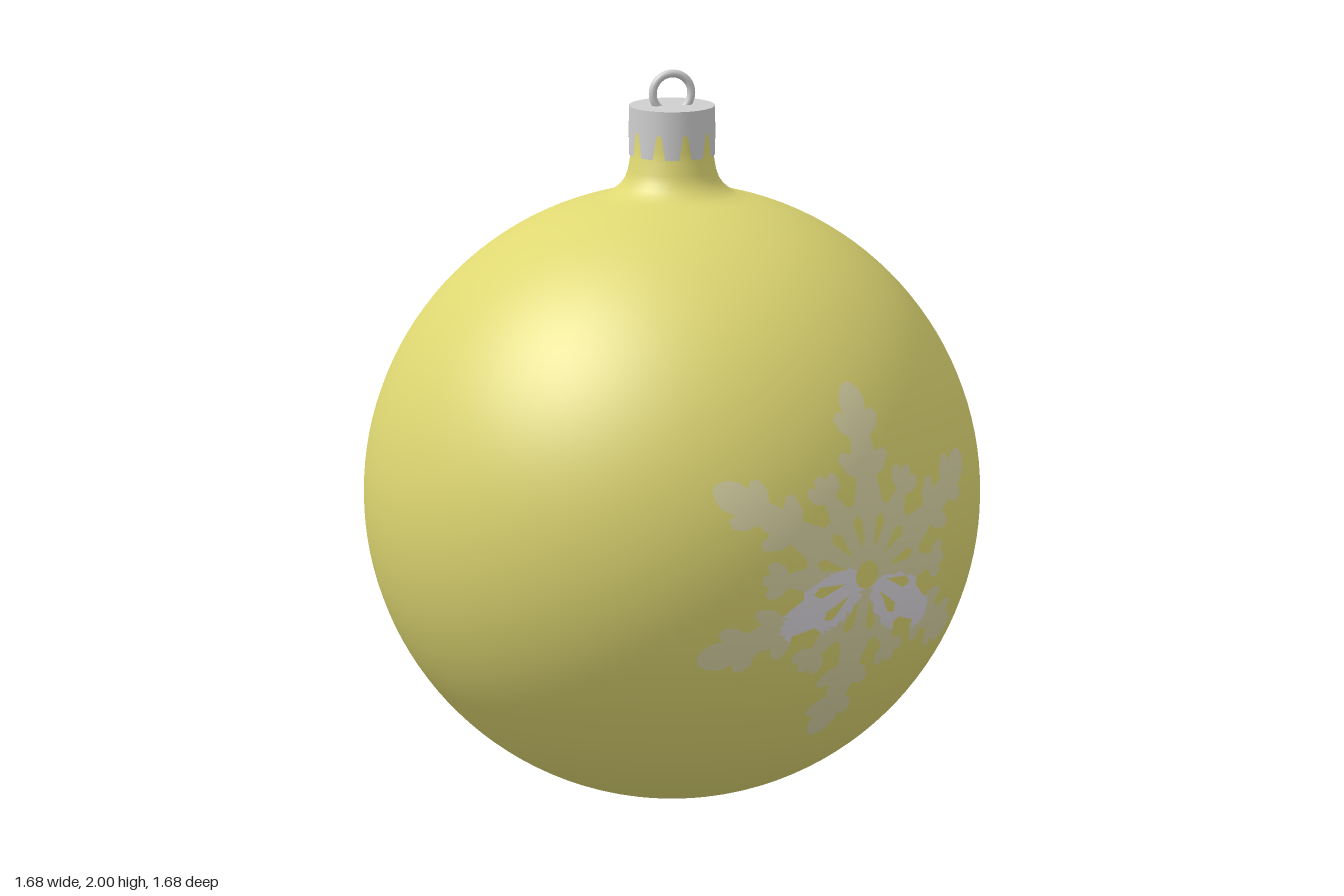
import * as THREE from 'three';

const R = 0.838; // ball radius, also the height of its centre
const mat = (name, color, side = THREE.FrontSide) => {
  const m = new THREE.MeshStandardMaterial({ color, side });
  m.name = name;
  return m;
};
const polar = (r, a) => new THREE.Vector2(r * Math.cos(a), r * Math.sin(a));

// Cuts a flat shape into small triangles and wraps it onto a curved surface.
// place(u, v) gives { p, n }; pick(u, v) gives the material index.
function wrapShape(shape, maxEdge, place, pick = () => 0) {
  const flat = new THREE.ShapeGeometry(shape, 6);
  const pos = flat.attributes.position, index = flat.index.array;
  const pt = (i) => new THREE.Vector2(pos.getX(i), pos.getY(i));
  const stack = [], groups = [[], []];
  for (let i = 0; i < index.length; i += 3) stack.push([pt(index[i]), pt(index[i + 1]), pt(index[i + 2])]);
  while (stack.length) {
    const t = stack.pop();
    const len = [0, 1, 2].map((k) => t[k].distanceTo(t[(k + 1) % 3]));
    const k = len.indexOf(Math.max(...len));
    const a = t[k], b = t[(k + 1) % 3], c = t[(k + 2) % 3];
    if (len[k] > maxEdge) {
      const m = a.clone().add(b).multiplyScalar(0.5);
      stack.push([a, m, c], [m, b, c]);
    } else {
      groups[pick((a.x + b.x + c.x) / 3, (a.y + b.y + c.y) / 3)].push(a, b, c);
    }
  }
  const p = [], n = [], g = new THREE.BufferGeometry();
  groups.forEach((list, i) => {
    g.addGroup(p.length / 3, list.length, i);
    for (const q of list) {
      const s = place(q.x, q.y);
      p.push(...s.p.toArray());
      n.push(...s.n.toArray());
    }
  });
  g.setAttribute('position', new THREE.Float32BufferAttribute(p, 3));
  g.setAttribute('normal', new THREE.Float32BufferAttribute(n, 3));
  return g;
}

// Six long and six short arms around a hub with slots; pairs are [radius, half width]
function snowflakeShape() {
  const longArm = [[0.20, 0.05], [0.27, 0.036], [0.285, 0.065], [0.325, 0.09], [0.345, 0.075], [0.335, 0.042],
    [0.38, 0.036], [0.40, 0.066], [0.435, 0.08], [0.455, 0.065], [0.45, 0.043], [0.485, 0.046], [0.515, 0.034], [0.535, 0.012]];
  const shortArm = [[0.20, 0.034], [0.25, 0.02], [0.265, 0.045], [0.295, 0.056], [0.315, 0.042], [0.305, 0.02], [0.325, 0.012]];
  const outline = [];
  for (let i = 0; i < 12; i++) {
    const arm = i % 2 ? longArm : shortArm;
    const a = (i * Math.PI) / 6;
    const put = ([r, w], s) => outline.push(new THREE.Vector2(r, s * w).rotateAround(new THREE.Vector2(), a));
    arm.forEach((q) => put(q, -1));
    [...arm].reverse().forEach((q) => put(q, 1));
  }
  const shape = new THREE.Shape(outline);
  const hub = [];
  for (let i = 0; i < 12; i++) hub.push(polar(0.04, (-i * Math.PI) / 6));
  shape.holes.push(new THREE.Path(hub));
  for (let i = 0; i < 12; i++) {
    const a = ((i + 0.5) * Math.PI) / 6;
    shape.holes.push(new THREE.Path([polar(0.075, a), polar(0.155, a + 0.11), polar(0.175, a), polar(0.155, a - 0.11)]));
  }
  return shape;
}

// Wraps a snowflake on the ball, left of and a little below the middle
function snowflake(name, materials, patches) {
  const lon = -0.256, lat = -0.143;
  const out = new THREE.Vector3(Math.sin(lon) * Math.cos(lat), Math.sin(lat), Math.cos(lon) * Math.cos(lat));
  const east = new THREE.Vector3(Math.cos(lon), 0, -Math.sin(lon));
  const north = new THREE.Vector3().crossVectors(out, east);
  const place = (u, v) => {
    const d = Math.hypot(u, v), s = Math.sin(d / R) / d;
    const n = out.clone().multiplyScalar(Math.cos(d / R)).addScaledVector(east, u * s).addScaledVector(north, v * s);
    return { n, p: n.clone().multiplyScalar(R + 0.003) };
  };
  // Frosted patches are tilted ellipses: centre, half length, half width, angle
  const pick = (u, v) => patches.some(([x, y, l, w, a]) => {
    const q = new THREE.Vector2(u - x, v - y).rotateAround(new THREE.Vector2(), -a);
    return (q.x / l) ** 2 + (q.y / w) ** 2 < 1;
  }) ? 1 : 0;
  const mesh = new THREE.Mesh(wrapShape(snowflakeShape(), 0.028, place, pick), materials);
  mesh.name = name;
  mesh.position.y = R;
  return mesh;
}

export function createModel() {
  const model = new THREE.Group();
  model.name = 'bauble';
  const yellow = mat('yellow glass', 0xded772);
  const pale = mat('pale frost', 0xdbd5a6);
  const frost = mat('white frost', 0xdedae0);
  const silver = mat('silver', 0xcfcfcf);
  const sheet = mat('silver sheet', 0xcfcfcf, THREE.DoubleSide);
  const add = (name, geometry, material, y = 0) => {
    const mesh = new THREE.Mesh(geometry, material);
    mesh.name = name;
    mesh.position.y = y;
    model.add(mesh);
    return mesh;
  };

  // Ball and flared neck, turned in one piece
  const profile = [];
  const end = Math.PI - Math.asin(0.175 / R);
  for (let i = 0; i <= 60; i++) {
    const a = (end * i) / 60;
    profile.push(new THREE.Vector2(R * Math.sin(a), R - R * Math.cos(a)));
  }
  for (const [r, y] of [[0.155, 1.672], [0.14, 1.685], [0.128, 1.703], [0.12, 1.725], [0.114, 1.76], [0.106, 1.79], [0.104, 1.89]]) {
    profile.push(new THREE.Vector2(r, y));
  }
  add('ball', new THREE.LatheGeometry(profile, 96), yellow);

  // Snowflakes on the front and the back
  const rightPatch = [0.15, -0.1, 0.14, 0.075, -0.5];
  const leftPatch = [-0.13, -0.08, 0.14, 0.075, 0.65];
  const fleck = [0.17, 0.32, 0.022, 0.022, 0];
  model.add(snowflake('frontSnowflake', [pale, frost], [rightPatch, leftPatch, fleck]));
  const back = snowflake('backSnowflake', [pale, frost], [rightPatch, fleck]);
  back.rotation.y = Math.PI;
  model.add(back);

  // Cap with a skirt of tapered teeth
  const capR = 0.117, teeth = 10, step = (2 * Math.PI * capR) / teeth;
  add('cap', new THREE.CylinderGeometry(capR, capR, 0.05, 64), silver, 1.877);
  const skirt = [new THREE.Vector2(teeth * step, 1.855), new THREE.Vector2(0, 1.855)];
  for (let i = 0; i < teeth; i++) {
    for (const [f, y] of [[0, 1.838], [0.1, 1.83], [0.24, 1.768], [0.76, 1.768], [0.9, 1.83]]) {
      skirt.push(new THREE.Vector2((i + f) * step, y));
    }
  }
  skirt.push(new THREE.Vector2(teeth * step, 1.838));
  const aroundCap = (u, y) => {
    const a = u / capR, n = new THREE.Vector3(Math.sin(a), 0, Math.cos(a));
    return { n, p: n.clone().multiplyScalar(capR + 0.001).setY(y) };
  };
  add('capTeeth', wrapShape(new THREE.Shape(skirt), 0.02, aroundCap), [sheet, sheet]);

  // Hanging ring
  add('ring', new THREE.TorusGeometry(0.054, 0.011, 16, 48), silver, 1.935).rotation.y = -0.7;

  return model;
}
